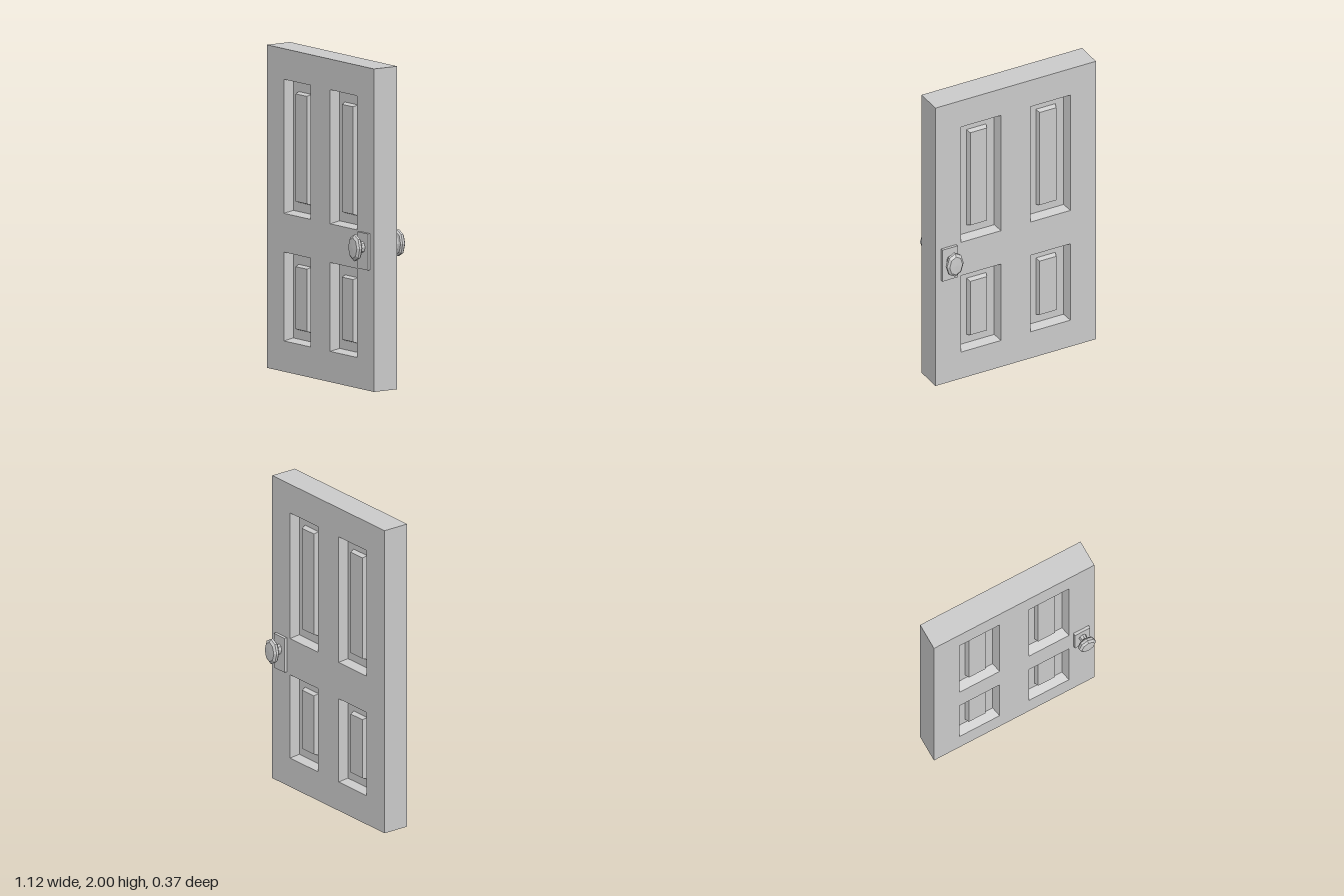
import * as THREE from 'three';

const material = new THREE.MeshStandardMaterial({ color: 0xcccccc, flatShading: true });
const W = 0.56, H = 2, T = 0.0875; // half width, height, half thickness

function mesh(geometry, name, parent) {
  const m = new THREE.Mesh(geometry, material);
  m.name = name;
  parent.add(m);
  return m;
}

// Skin between rectangular rings [inset, z] around [x0, y0, x1, y1]; optional cap on the last ring
function rectLoft([x0, y0, x1, y1], rings, cap) {
  const positions = [], index = [];
  rings.forEach(([i, z], k) => {
    positions.push(x0 + i, y0 + i, z, x1 - i, y0 + i, z, x1 - i, y1 - i, z, x0 + i, y1 - i, z);
    const a = k * 4;
    if (k > 0) {
      for (let s = 0; s < 4; s++) {
        const t = (s + 1) % 4;
        index.push(a - 4 + s, a - 4 + t, a + t, a - 4 + s, a + t, a + s);
      }
    }
    if (cap && k === rings.length - 1) index.push(a, a + 1, a + 2, a, a + 2, a + 3);
  });
  const g = new THREE.BufferGeometry();
  g.setAttribute('position', new THREE.Float32BufferAttribute(positions, 3));
  g.setIndex(index);
  const flat = g.toNonIndexed();
  flat.computeVertexNormals();
  return flat;
}

function rectPath(path, [x0, y0, x1, y1]) {
  return path.moveTo(x0, y0).lineTo(x1, y0).lineTo(x1, y1).lineTo(x0, y1).closePath();
}

const slab = [-W, 0, W, H];
const panels = [];
for (const [y0, y1] of [[0.19, 0.74], [0.98, 1.81]]) {
  panels.push([-0.382, y0, -0.102, y1], [0.102, y0, 0.382, y1]);
}

// One door face: frame with openings, sunken panels with raised fields
function doorFace() {
  const face = new THREE.Group();
  const shape = rectPath(new THREE.Shape(), slab);
  for (const p of panels) shape.holes.push(rectPath(new THREE.Path(), p));
  mesh(new THREE.ShapeGeometry(shape), 'doorFrame', face).position.z = T;
  const profile = [[0, T], [0.015, T - 0.06], [0.072, T - 0.06], [0.082, T - 0.03]];
  for (const p of panels) mesh(rectLoft(p, profile, true), 'doorPanel', face);
  return face;
}

// Back plate and faceted oval knob, pointing along +z
function doorHandle() {
  const handle = new THREE.Group();
  const plate = mesh(new THREE.BoxGeometry(0.106, 0.226, 0.018), 'handlePlate', handle);
  plate.position.set(0, 0.862, T + 0.009);
  const profile = [
    [0.025, 0.1], [0.022, 0.13], [0.034, 0.141], [0.05, 0.144],
    [0.058, 0.154], [0.058, 0.17], [0.045, 0.182], [0, 0.184],
  ].map(([r, z]) => new THREE.Vector2(r, z));
  const knob = mesh(new THREE.LatheGeometry(profile, 8).rotateX(Math.PI / 2), 'doorKnob', handle);
  knob.scale.y = 1.42;
  knob.position.y = 0.887;
  handle.position.x = 0.467;
  return handle;
}

export function createModel() {
  const door = new THREE.Group();
  door.name = 'door';
  mesh(rectLoft(slab, [[0, -T], [0, T]], false), 'doorEdges', door);
  // Same face and handle on both sides
  ['front', 'back'].forEach((side, i) => {
    const face = doorFace(), handle = doorHandle();
    face.name = side + 'Face';
    handle.name = side + 'Handle';
    face.rotation.y = handle.rotation.y = i * Math.PI;
    door.add(face, handle);
  });
  return door;
}
